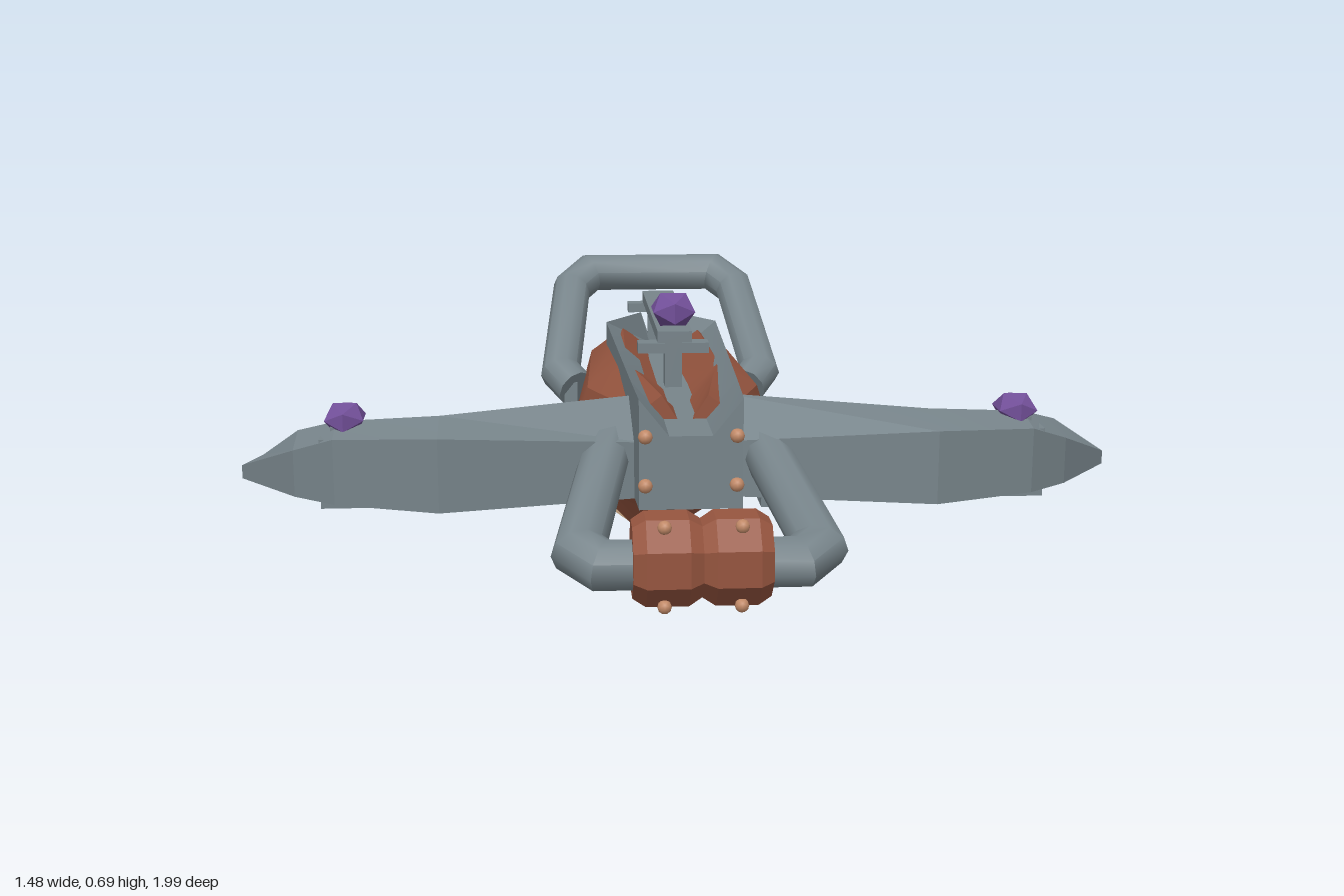
import * as THREE from 'three';
import { toCreasedNormals } from 'three/addons/utils/BufferGeometryUtils.js';

const mat = (name, color) => Object.assign(new THREE.MeshStandardMaterial({ color }), { name });
const V = (x, y, z) => new THREE.Vector3(x, y, z);

// Closed solid through equal-sized rings; each ring runs counter-clockwise seen from the start
function loft(rings, crease = 0.5) {
  const n = rings[0].length, idx = [], last = (rings.length - 1) * n;
  for (let i = 0; i < rings.length - 1; i++) {
    for (let j = 0; j < n; j++) {
      const a = i * n + j, b = i * n + (j + 1) % n;
      idx.push(a, a + n, b, b, a + n, b + n);
    }
  }
  for (let j = 1; j < n - 1; j++) {
    idx.push(0, j, j + 1, last, last + j + 1, last + j);
  }
  const g = new THREE.BufferGeometry().setFromPoints(rings.flat());
  g.setIndex(idx);
  return toCreasedNormals(g.toNonIndexed(), crease);
}

// Keeled cross-section: z, bottom, top, half width, depth of the groove on top
function keelRing([z, b, t, w, dip = 0]) {
  const h = t - b;
  const half = [[0.76 * w, b + 0.24 * h], [w, b + 0.54 * h], [0.84 * w, b + 0.85 * h], [0.45 * w, t]];
  return [V(0, b, z), ...half.map(([x, y]) => V(x, y, z)), V(0, t - dip, z),
    ...half.reverse().map(([x, y]) => V(-x, y, z))];
}

// Grooved rail cross-section: z, half width, bottom
function railRing([z, w, b]) {
  const f = Math.min(0.035, w * 0.5);
  return [V(0, b, z), V(w, b, z), V(w, 0.59, z), V(f, 0.53, z), V(-f, 0.53, z), V(-w, 0.59, z), V(-w, b, z)];
}

// Mitred round bar through mirrored [x, z] points lying on the plane y = y0 + k z
function bentBar(half, y0, k, r) {
  const pts = [...half, ...half.slice().reverse().map(([x, z]) => [-x, z])].map(([x, z]) => V(x, y0 + k * z, z));
  const v = V(0, 1, -k).normalize();
  return loft(pts.map((p, i) => {
    const d0 = p.clone().sub(pts[Math.max(i - 1, 0)]).normalize();
    const d1 = pts[Math.min(i + 1, pts.length - 1)].clone().sub(p).normalize();
    const t = d0.clone().add(d1).normalize();
    const miter = 1 / Math.max(t.dot(d0), t.dot(d1), 0.5);
    const u = t.clone().cross(v);
    return Array.from({ length: 10 }, (_, j) => {
      const a = j / 10 * Math.PI * 2;
      return p.clone().addScaledVector(u, Math.cos(a) * r * miter).addScaledVector(v, Math.sin(a) * r);
    });
  }), 0.7);
}

export function createModel() {
  const wood = mat('wood', 0x96553f);
  const steel = mat('steel', 0x77848a);
  const wrap = mat('leather wrap', 0xd0ac88);
  const gem = mat('purple gem', 0x73509a);
  const copper = mat('copper rivet', 0xc28a68);
  const group = new THREE.Group();
  const add = (name, geo, material, x = 0, y = 0, z = 0) => {
    const m = new THREE.Mesh(geo, material);
    m.name = name;
    m.position.set(x, y, z);
    group.add(m);
    return m;
  };
  const box = (name, w, h, d, x, y, z) => add(name, new THREE.BoxGeometry(w, h, d), steel, x, y, z);
  const stone = (name, x, y, z, sx, sy, sz) =>
    add(name, new THREE.IcosahedronGeometry(1, 0), gem, x, y, z).scale.set(sx, sy, sz);
  const stud = (name, x, y, z, r, material) => add(name, new THREE.IcosahedronGeometry(r, 1), material, x, y, z);

  // Stock: deep keeled body running back into the grip and pommel
  add('stock', loft([
    [0.62, 0.4, 0.57, 0.085, 0.06], [0.48, 0.31, 0.57, 0.13, 0.06], [0.345, 0.275, 0.57, 0.18, 0.06],
    [0, 0.27, 0.57, 0.157, 0.06], [-0.05, 0.23, 0.55, 0.15, 0.04], [-0.19, 0.14, 0.47, 0.127, 0.02],
    [-0.27, 0.07, 0.42, 0.097], [-0.32, 0.04, 0.335, 0.09], [-0.4, 0.035, 0.27, 0.09],
    [-0.88, 0.045, 0.268, 0.09], [-0.95, 0.08, 0.257, 0.067], [-0.985, 0.14, 0.24, 0.035], [-1, 0.19, 0.215, 0.01],
  ].map(keelRing), 0.6), wood);

  // Two flared wraps around the grip
  add('frontWrap', loft([[-0.505, 0.03, 0.27, 0.1], [-0.512, 0.004, 0.297, 0.125], [-0.535, 0.002, 0.297, 0.128],
    [-0.69, 0.018, 0.286, 0.117], [-0.7, 0.03, 0.27, 0.1]].map(keelRing)), wrap);
  add('rearWrap', loft([[-0.695, 0.03, 0.27, 0.1], [-0.71, 0.02, 0.277, 0.107], [-0.83, 0.006, 0.302, 0.13],
    [-0.845, 0.006, 0.302, 0.13], [-0.865, 0.04, 0.27, 0.1]].map(keelRing)), wrap);

  // Grooved bolt rail with a deep front block
  add('rail', loft([[0.6, 0.088, 0.49], [0.05, 0.105, 0.49], [-0.055, 0.032, 0.49]].map(railRing), 0.2), steel);
  add('railFrontBlock', loft([[0.74, 0.083, 0.41], [0.6, 0.088, 0.41]].map(railRing), 0.2), steel);

  // Sight: floating bar, rear notch, stem, cross pin and gem
  box('sightBar', 0.06, 0.02, 0.44, 0, 0.625, 0.18);
  box('rearSight', 0.11, 0.018, 0.03, 0, 0.592, -0.11);
  box('rearSightPost', 0.03, 0.1, 0.02, 0, 0.54, -0.11);
  box('sightStem', 0.03, 0.12, 0.035, 0, 0.575, 0.355);
  box('sightPin', 0.125, 0.018, 0.035, 0, 0.6, 0.355);
  stone('sightGem', 0, 0.666, 0.355, 0.043, 0.034, 0.06);

  // Front stirrup and rear carrying handle
  add('stirrup', bentBar([[0.12, 0.58], [0.183, 0.895], [0.15, 0.93]], 0.691, -0.335, 0.04), steel);
  add('rearHandle', bentBar([[0.165, 0.075], [0.193, 0.035], [0.165, -0.19], [0.125, -0.235]], 0.509, -0.567, 0.037), steel);

  // Waisted roller on the stirrup
  const profile = [[0, -0.105], [0.06, -0.105], [0.073, -0.085], [0.073, -0.02], [0.06, 0],
    [0.073, 0.02], [0.073, 0.085], [0.06, 0.105], [0, 0.105]].map(([r, y]) => new THREE.Vector2(r, y));
  const roller = add('stirrupRoller', toCreasedNormals(new THREE.LatheGeometry(profile, 8).toNonIndexed(), 0.3),
    wood, 0, 0.385, 0.918);
  roller.rotation.set(Math.PI / 8, 0, Math.PI / 2, 'XYZ');

  // Curved spur behind the body
  const spur = new THREE.Shape();
  spur.moveTo(0.36, 0.25);
  spur.quadraticCurveTo(0.415, 0.32, 0.41, 0.405);
  spur.quadraticCurveTo(0.45, 0.37, 0.435, 0.3);
  spur.lineTo(0.41, 0.25);
  const spurGeo = new THREE.ExtrudeGeometry(spur, { depth: 0.05, bevelEnabled: false, curveSegments: 4 });
  spurGeo.translate(0, 0, -0.025).rotateY(Math.PI / 2);
  add('spur', spurGeo, steel);

  for (const s of [1, -1]) {
    const side = s > 0 ? 'left' : 'right';

    // Bow limb: x, rear z, front z, rear top, front top
    add(side + 'Limb', loft([
      [0.07, 0.555, 0.655, 0.558, 0.5], [0.4, 0.635, 0.727, 0.545, 0.528],
      [0.57, 0.585, 0.665, 0.527, 0.515], [0.64, 0.53, 0.61, 0.5, 0.485],
    ].map(([x, zr, zf, tr, tf]) => {
      const ring = [V(s * x, 0.407, zr), V(s * x, 0.407, zf), V(s * x, tf, zf), V(s * x, tr, zr)];
      return s > 0 ? ring : ring.reverse();
    }).concat([(() => {
      const tip = [V(s * 0.71, 0.407, 0.455), V(s * 0.742, 0.407, 0.485), V(s * 0.742, 0.43, 0.485), V(s * 0.71, 0.44, 0.455)];
      return s > 0 ? tip : tip.reverse();
    })()]), 0.2), steel);

    // Clamp and gem near the limb tip
    box(side + 'LimbClamp', 0.078, 0.115, 0.11, s * 0.555, 0.453, 0.59);
    box(side + 'GemSeat', 0.045, 0.02, 0.06, s * 0.555, 0.515, 0.59);
    stone(side + 'LimbGem', s * 0.555, 0.535, 0.592, 0.037, 0.028, 0.053);

    // Side plate with through bolts
    box(side + 'SidePlate', 0.016, 0.145, 0.315, s * 0.175, 0.36, 0.145);
    for (const z of [0.26, 0.035]) {
      const bolt = add(side + 'PlateBolt', new THREE.CylinderGeometry(0.02, 0.02, 0.09, 8), steel, s * 0.168, 0.36, z);
      bolt.rotation.z = Math.PI / 2;
    }
    box(side + 'HandleMount', 0.025, 0.08, 0.05, s * 0.175, 0.44, 0.06);

    // Rivets on the block, roller and body, and studs under the wraps
    for (const y of [0.53, 0.45]) stud(side + 'BlockRivet', s * 0.073, y, 0.742, 0.012, copper);
    for (const y of [0.445, 0.322]) stud(side + 'RollerRivet', s * 0.058, y, 0.96, 0.011, copper);
    stud(side + 'BodyRivet', s * 0.088, 0.18, -0.205, 0.013, copper);
    for (const z of [-0.54, -0.645, -0.735]) stud(side + 'WrapStud', s * 0.105, 0.063, z, 0.014, wood);
  }
  return group;
}
